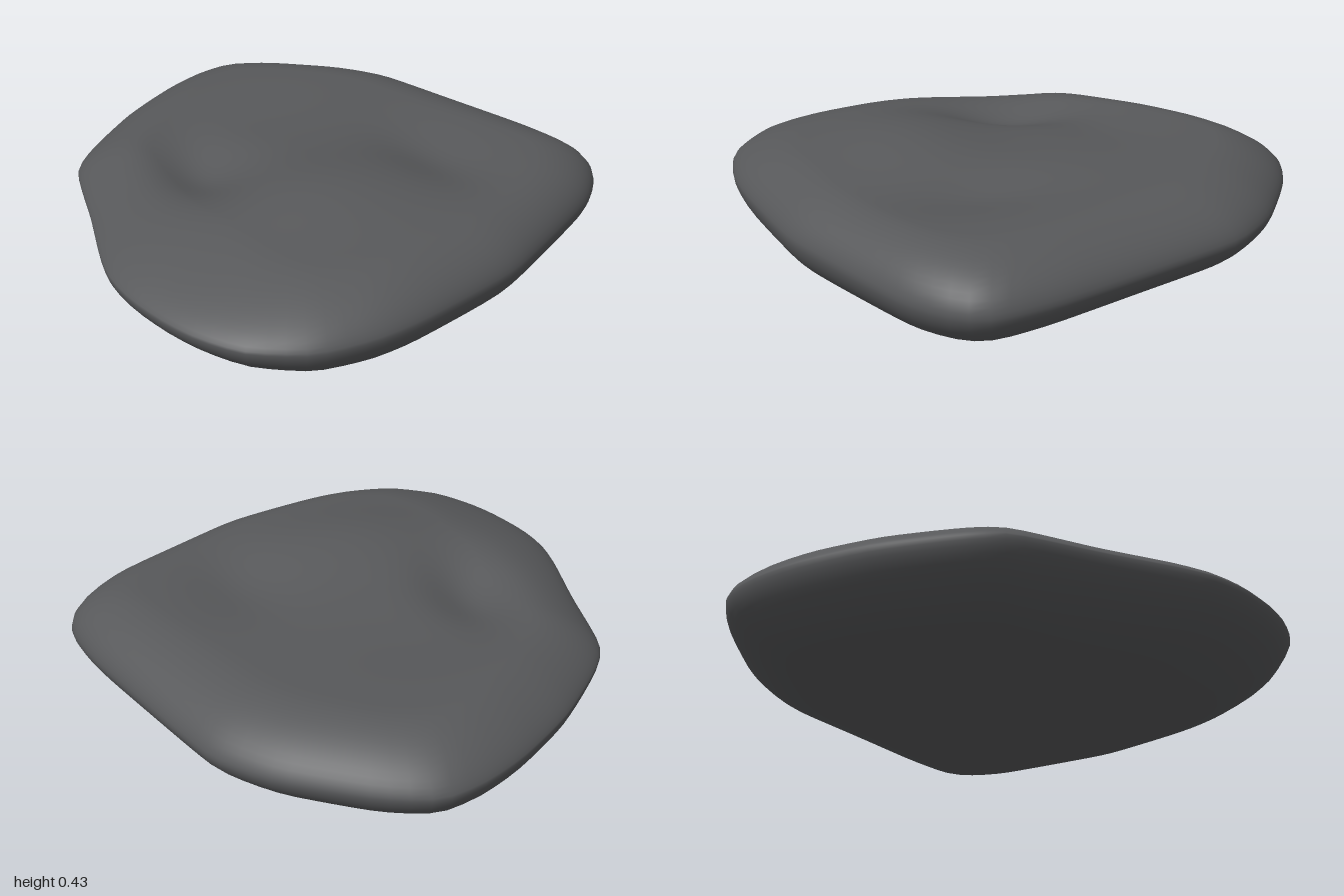
import * as THREE from 'three';
import { mergeVertices } from 'three/addons/utils/BufferGeometryUtils.js';

// Widest outline seen from above: x, z, relative width of the rounded edge
const OUTLINE = [
  [0.4, -1, 0.25], [0.57, -0.965, 0.25], [0.72, -0.82, 0.25], [0.9, -0.55, 0.27],
  [0.965, -0.4, 0.28], [1, -0.25, 0.29], [0.995, 0.12, 0.29], [0.98, 0.52, 0.27],
  [0.94, 0.75, 0.24], [0.86, 0.85, 0.22], [0.66, 0.93, 0.21], [0.15, 0.99, 0.21],
  [-0.02, 0.99, 0.21], [-0.4, 0.94, 0.22], [-0.6, 0.89, 0.24], [-0.8, 0.79, 0.28],
  [-0.94, 0.62, 0.34], [-0.99, 0.45, 0.39], [-1, 0.3, 0.42], [-0.985, 0.12, 0.42],
  [-0.945, -0.03, 0.42], [-0.87, -0.17, 0.41], [-0.71, -0.41, 0.38], [-0.52, -0.71, 0.32],
  [-0.38, -0.81, 0.3], [-0.08, -0.93, 0.28], [0.2, -0.99, 0.26],
];

// Swellings and hollows of the top: x, z, length, width, turn, height
const RELIEF = [
  [-0.17, 0.34, 0.42, 0.33, 0.3, 0.065],
  [-0.3, -0.23, 0.27, 0.17, -1.1, -0.075],
  [0.36, 0.42, 0.28, 0.18, -1.2, -0.04],
  [0.05, -0.42, 0.3, 0.2, 0.3, -0.02],
];

function relief(x, z) {
  let y = 0;
  for (const [cx, cz, length, width, turn, height] of RELIEF) {
    const dx = x - cx, dz = z - cz;
    const u = (dx * Math.cos(turn) + dz * Math.sin(turn)) / length;
    const v = (dz * Math.cos(turn) - dx * Math.sin(turn)) / width;
    y += height * Math.exp(-u * u - v * v);
  }
  return y;
}

function stoneGeometry() {
  const SEGMENTS = 96, FLAT = 18, ROUND = 12;
  const curve = new THREE.CatmullRomCurve3(
    OUTLINE.map(([x, z, w]) => new THREE.Vector3(x, w, z)), true, 'catmullrom', 0.35);
  const rim = curve.getSpacedPoints(SEGMENTS).slice(0, SEGMENTS);
  const positions = [], index = [];

  // Adds a ring whose scale and height depend on the local edge width
  const ring = (rule) => rim.forEach((p) => {
    const [s, y] = rule(p);
    positions.push(p.x * s, y, p.z * s);
  });
  const edge = (p) => 0.22 - 0.015 * p.x;
  const edgeScale = (p, a) => 1 - p.y * (1 - Math.cos(a));
  // Rise of the rounded edge: the left and back taper to a thinner lip
  const swell = (a, n) => Math.pow(1 - Math.pow(Math.cos(a), n), 1 / n);
  const lip = (p) => 1.6 + 0.14 * (p.x + p.z);
  const top = (p, s, rise) => {
    const crown = 0.37 + relief(p.x * s, p.z * s);
    return edge(p) + (crown - edge(p)) * rise;
  };
  const bottom = (p, s, rise) => edge(p) * (1 - rise) + 0.035 * s ** 3 * rise;

  // Top surface from the centre outwards, then over the rounded edge
  for (let i = 0; i < FLAT; i++) {
    ring((p) => {
      const s = (1 - p.y) * i / FLAT;
      return [s, top(p, s, 1)];
    });
  }
  for (let i = 0; i <= ROUND; i++) {
    const a = (1 - i / ROUND) * Math.PI / 2;
    ring((p) => {
      const s = edgeScale(p, a);
      return [s, top(p, s, swell(a, lip(p)))];
    });
  }
  // Under the edge and back to the centre of the base
  for (let i = 1; i <= ROUND; i++) {
    const a = i / ROUND * Math.PI / 2;
    ring((p) => {
      const s = edgeScale(p, a);
      return [s, bottom(p, s, swell(a, 1.75))];
    });
  }
  for (let i = 7; i >= 0; i--) {
    ring((p) => {
      const s = (1 - p.y) * i / 8;
      return [s, bottom(p, s, 1)];
    });
  }

  // Skin neighbouring rings, with single triangles at the two centres
  const rings = positions.length / 3 / SEGMENTS;
  for (let r = 0; r < rings - 1; r++) {
    for (let i = 0; i < SEGMENTS; i++) {
      const j = (i + 1) % SEGMENTS;
      const a = r * SEGMENTS + i, b = r * SEGMENTS + j;
      const c = a + SEGMENTS, d = b + SEGMENTS;
      if (r < rings - 2) index.push(a, d, c);
      if (r > 0) index.push(a, b, d);
    }
  }
  const geometry = new THREE.BufferGeometry();
  geometry.setAttribute('position', new THREE.Float32BufferAttribute(positions, 3));
  geometry.setIndex(index);
  const welded = mergeVertices(geometry);
  welded.computeVertexNormals();
  return welded;
}

export function createModel() {
  const group = new THREE.Group();
  group.name = 'flatStone';
  const stone = new THREE.Mesh(
    stoneGeometry(), new THREE.MeshStandardMaterial({ color: 0x57585a }));
  stone.name = 'stone';
  group.add(stone);
  return group;
}
